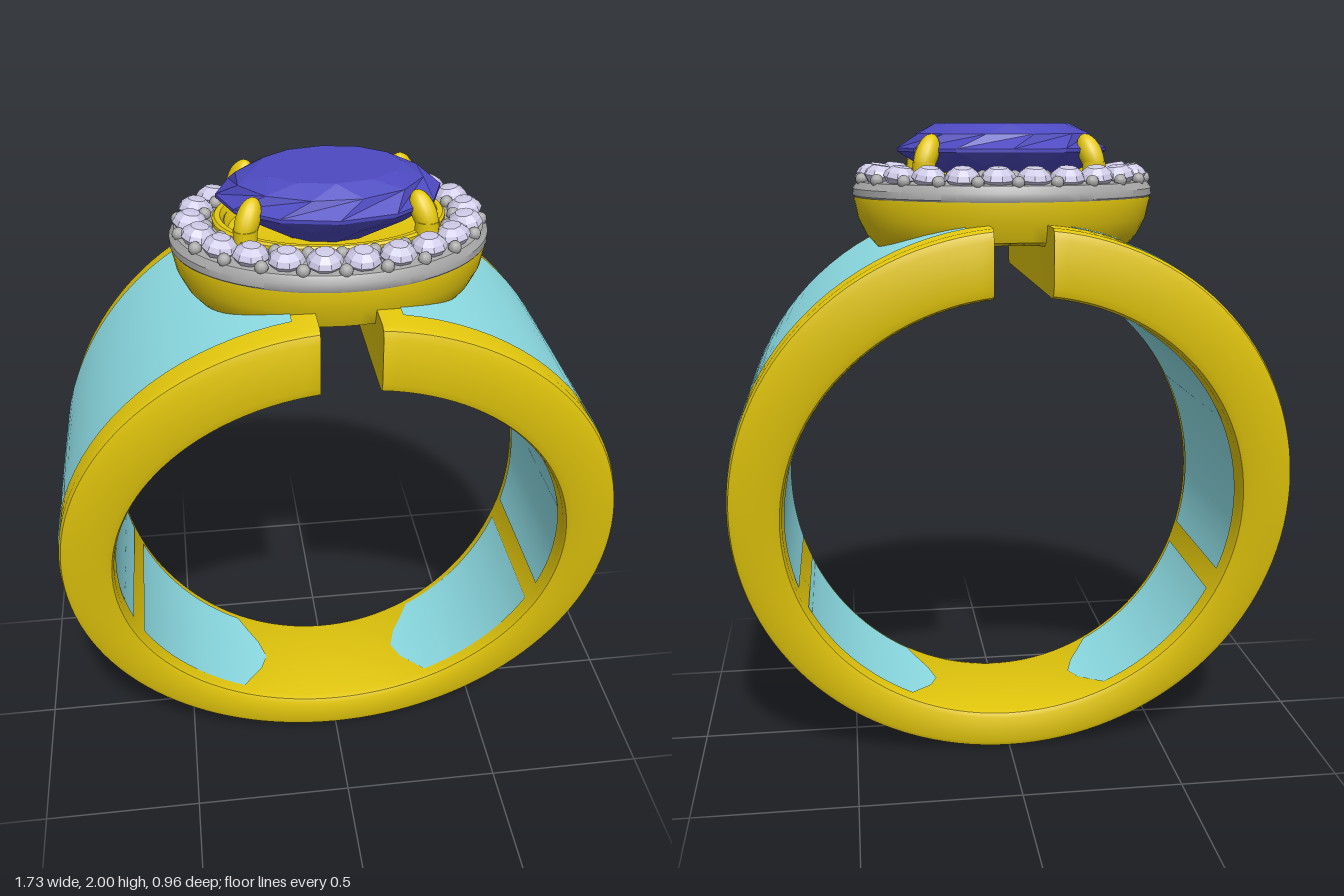
import * as THREE from 'three';
import { toCreasedNormals, mergeVertices } from 'three/addons/utils/BufferGeometryUtils.js';

const mat = (color, extra = {}) => {
  const m = new THREE.MeshStandardMaterial({ color });
  return Object.assign(m, extra);
};
const gold = mat(0xe3c70c);
const goldThin = mat(0xe3c70c, { side: THREE.DoubleSide });
const enamel = mat(0x8fe0e8, { side: THREE.DoubleSide });
const silver = mat(0xa8a8a8, { side: THREE.DoubleSide });
const paleStone = mat(0xcdc9e6, { flatShading: true });
const blueStone = mat(0x4d49c0, { flatShading: true });

const RAD = Math.PI / 180;
const DEPTH = 0.83; // halo depth relative to its width

// Band surfaces: phi is the angle from the bottom, k = 0 inner face, 1 outer face
const halfWidth = phi => 0.34 - 0.14 * Math.cos(phi);
function bandPoint(phi, phiWidth, k, z, lift = 0) {
  const r = 0.70 + 0.16 * k + lift;
  const cy = 0.83 + 0.035 * k;
  return [r * Math.sin(phi), cy - r * Math.cos(phi), z * halfWidth(phiWidth)];
}

// Quads from a grid of points, rows x cols
function gridGeometry(points, rows, cols, closed, capped) {
  const index = [];
  const last = closed ? cols : cols - 1;
  for (let i = 0; i < rows - 1; i++) {
    for (let j = 0; j < last; j++) {
      const n = (j + 1) % cols;
      const a = i * cols + j, b = a + cols, c = (i + 1) * cols + n, d = i * cols + n;
      index.push(a, b, c, a, c, d);
    }
  }
  if (capped) {
    const e = (rows - 1) * cols;
    for (let j = 1; j < cols - 1; j++) index.push(0, j, j + 1, e, e + j + 1, e + j);
  }
  const g = new THREE.BufferGeometry();
  g.setAttribute('position', new THREE.Float32BufferAttribute(points.flat(), 3));
  g.setIndex(index);
  g.computeVertexNormals();
  return g;
}

// Open band with softened corners that widens towards the gap
function bandGeometry() {
  const rows = 121, pts = [];
  const endOuter = Math.PI - Math.asin(0.083 / 0.86);
  const endInner = Math.PI - Math.asin(0.083 / 0.70);
  const quarter = [[0, 0.86], [0.03, 0.95], [0.10, 1], [0.20, 1]];
  for (let i = 0; i < rows; i++) {
    const t = -1 + 2 * i / (rows - 1);
    const phiW = t * endOuter;
    const bevel = 0.025 / halfWidth(phiW);
    const section = [
      [-1 + bevel, 1], [1 - bevel, 1], [1 - bevel * 0.3, 0.96], [1, 0.84],
      [1, 0.16], [1 - bevel * 0.3, 0.04], [1 - bevel, 0],
      [-1 + bevel, 0], [-1 + bevel * 0.3, 0.04], [-1, 0.16],
      [-1, 0.84], [-1 + bevel * 0.3, 0.96]];
    for (const [z, k] of section) {
      pts.push(bandPoint(t * (endInner + (endOuter - endInner) * k), phiW, k, z));
    }
  }
  return toCreasedNormals(gridGeometry(pts, rows, 12, true, true), 0.7);
}

// Thin enamel sheet; a tip angle below the start gives a cut-corner point
function panelGeometry(side, k, start, end, tip = start) {
  const rows = 41, us = [-1, -0.7, -0.4, 0, 0.4, 0.7, 1], pts = [];
  for (let i = 0; i < rows; i++) {
    for (const u of us) {
      const s = tip + (start - tip) * Math.max(0, (Math.abs(u) - 0.2) / 0.8);
      const phi = (s + (end - s) * i / (rows - 1)) * RAD;
      const p = bandPoint(phi, phi, k, u * 0.82, k ? 0.004 : -0.004);
      pts.push([p[0] * side, p[1], p[2]]);
    }
  }
  return gridGeometry(pts, rows, us.length, false, false);
}

// Lathe squeezed to an oval
function ovalLathe(profile, depth, segments = 64) {
  const g = new THREE.LatheGeometry(profile.map(p => new THREE.Vector2(...p)), segments);
  return g.scale(1, 1, depth);
}

// Oval points at equal spacing along the curve
function ovalPoints(rx, rz, count, offset = 0) {
  const curve = new THREE.EllipseCurve(0, 0, rx, rz, 0, Math.PI * 2);
  curve.arcLengthDivisions = 800;
  return Array.from({ length: count }, (_, i) => curve.getPointAt(((i + offset) / count) % 1));
}

export function createModel() {
  const model = new THREE.Group();
  const add = (name, geometry, material, parent = model) => {
    const m = new THREE.Mesh(geometry, material);
    m.name = name;
    parent.add(m);
    return m;
  };

  add('band', bandGeometry(), gold);

  // Enamel inlays outside and inside, the inside split by a gold bar
  for (const side of [-1, 1]) {
    add('outerInlay', panelGeometry(side, 1, 28, 170, 19), enamel);
    add('innerUpperInlay', panelGeometry(side, 0, 72, 170), enamel);
    add('innerLowerInlay', panelGeometry(side, 0, 27, 66, 19), enamel);
  }

  const head = new THREE.Group();
  head.name = 'head';
  model.add(head);

  // Bowl under the halo, its underside following the band
  let bowl = ovalLathe([[0.02, 1.6], [0.2, 1.6], [0.34, 1.6], [0.385, 1.63], [0.42, 1.67],
    [0.445, 1.72], [0.456, 1.775], [0.456, 1.79], [0.30, 1.79]], DEPTH);
  const pos = bowl.attributes.position;
  for (let i = 0; i < pos.count; i++) {
    const x = pos.getX(i);
    const floor = 0.865 + Math.sqrt(0.74 - x * x) - 0.065;
    pos.setY(i, Math.max(pos.getY(i), Math.min(floor, 1.72)));
  }
  bowl.deleteAttribute('normal');
  bowl.deleteAttribute('uv');
  bowl = toCreasedNormals(mergeVertices(bowl), 0.7);
  add('bowl', bowl, goldThin, head);

  // Halo plate and gold seat
  add('haloPlate', toCreasedNormals(ovalLathe([[0.30, 1.78], [0.452, 1.78], [0.46, 1.79],
    [0.46, 1.81], [0.445, 1.83], [0.33, 1.845], [0.30, 1.845]], DEPTH), 0.6), silver, head);
  add('seat', toCreasedNormals(ovalLathe([[0.335, 1.80], [0.335, 1.855], [0.328, 1.862],
    [0.312, 1.862], [0.29, 1.82], [0.01, 1.80]], 0.765), 0.6), goldThin, head);

  // Small halo stones
  const small = new THREE.LatheGeometry([[0.03, -0.025], [0.052, 0.005], [0.045, 0.02],
    [0.026, 0.036], [0, 0.038]].map(p => new THREE.Vector2(...p)), 9);
  for (const p of ovalPoints(0.397, 0.315, 22)) {
    const s = add('haloStone', small, paleStone, head);
    s.position.set(p.x, 1.843, p.y);
    s.rotation.set(p.y * 0.5, p.x * 9, -p.x * 0.4);
  }

  // Beads between the stones on both sides
  const bead = new THREE.SphereGeometry(0.019, 10, 8);
  for (const [rx, rz, y] of [[0.437, 0.357, 1.838], [0.358, 0.276, 1.852]]) {
    for (const p of ovalPoints(rx, rz, 22, 0.5)) {
      add('bead', bead, silver, head).position.set(p.x, y, p.y);
    }
  }

  // Faceted oval centre stone: rings of staggered corners
  const sides = 12, rings = [[0.12, 1.80, 0], [0.27, 1.88, 0.5], [0.322, 1.918, 0],
    [0.322, 1.928, 0], [0.27, 1.97, 0.5], [0.205, 2.0, 0]];
  const gemPts = [];
  for (const [r, y, shift] of rings) {
    for (let j = 0; j < sides; j++) {
      const a = -(j + shift) / sides * Math.PI * 2;
      gemPts.push([r * Math.cos(a), y, r * 0.75 * Math.sin(a)]);
    }
  }
  const gem = gridGeometry(gemPts, rings.length, sides, true, true);
  // outward facing corner order
  const order = Array.from(gem.index.array);
  for (let i = 0; i < order.length; i += 3) [order[i + 1], order[i + 2]] = [order[i + 2], order[i + 1]];
  gem.setIndex(order);
  add('centreStone', gem, blueStone, head);

  // Four claws leaning over the stone
  const claw = new THREE.SphereGeometry(1, 16, 12);
  for (const sx of [-1, 1]) {
    for (const sz of [-1, 1]) {
      const g = new THREE.Group();
      g.name = 'claw';
      g.position.set(sx * 0.243, 1.91, sz * 0.163);
      g.rotation.y = Math.atan2(-sz, sx);
      head.add(g);
      const tip = add('clawTip', claw, gold, g);
      tip.scale.set(0.036, 0.066, 0.034);
      tip.rotation.z = 0.5;
      const stem = add('clawStem', new THREE.CylinderGeometry(0.034, 0.034, 0.08, 14), gold, g);
      stem.position.set(0.012, -0.06, 0);
    }
  }
  return model;
}
